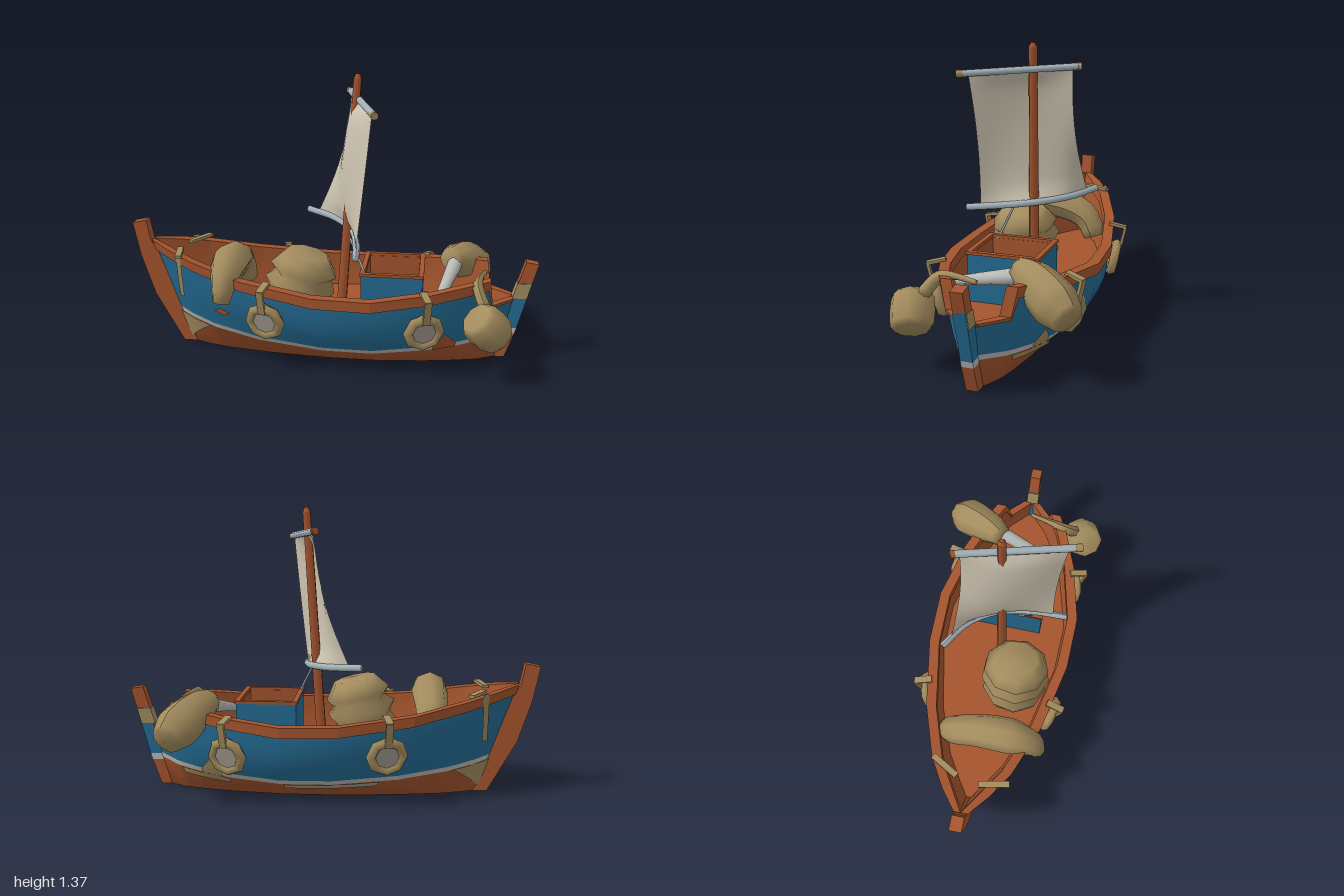
import * as THREE from 'three';

const mat = (name, color) => new THREE.MeshStandardMaterial({ name, color, side: THREE.DoubleSide });
const V = (p) => new THREE.Vector3(p[0], p[1], p[2]);
const lerp = THREE.MathUtils.lerp;
const CZ = 0.02; // centre plane of the hull

// Hull stations: x at the sheer, half width, sheer height, actual top edge
const STATIONS = [
  [-0.9, 0.02, 0.53, 0.53], [-0.8, 0.1, 0.51, 0.51], [-0.66, 0.185, 0.48, 0.48], [-0.4, 0.28, 0.425, 0.425],
  [-0.05, 0.35, 0.385, 0.385], [0.22, 0.355, 0.38, 0.38], [0.5, 0.285, 0.405, 0.405], [0.68, 0.21, 0.43, 0.43],
  [0.77, 0.16, 0.44, 0.44], [0.81, 0.135, 0.45, 0.31], [0.92, 0.03, 0.46, 0.31],
];
const XS = STATIONS.map((s) => s[0]);

function station(x) {
  let i = 0;
  while (i < STATIONS.length - 2 && x > STATIONS[i + 1][0]) i++;
  const a = STATIONS[i], b = STATIONS[i + 1], k = (x - a[0]) / (b[0] - a[0]);
  return a.map((v, j) => lerp(v, b[j], k));
}

// Point on the hull skin at sheer position x, height y
function hullPoint(x, y, side, off = 0) {
  const [, w, sheer] = station(x);
  const f = y / sheer;
  const bottom = 0.15 * Math.pow(w / 0.355, 0.8);
  const half = lerp(bottom, w, 1 - Math.pow(1 - Math.min(f, 1), 3));
  const xBottom = -0.72 + ((x + 0.9) / 1.82) * 1.54;
  return [lerp(xBottom, x, f), y, CZ + side * Math.max(half + off, 0)];
}

// Surface from a grid of points fn(i, j)
function grid(nu, nv, fn, flat = false) {
  const pos = [], idx = [];
  for (let i = 0; i <= nu; i++) for (let j = 0; j <= nv; j++) pos.push(...fn(i, j));
  for (let i = 0; i < nu; i++) for (let j = 0; j < nv; j++) {
    const a = i * (nv + 1) + j, b = a + nv + 1;
    idx.push(a, b, a + 1, b, b + 1, a + 1);
  }
  let g = new THREE.BufferGeometry();
  g.setAttribute('position', new THREE.Float32BufferAttribute(pos, 3));
  g.setIndex(idx);
  if (flat) g = g.toNonIndexed();
  g.computeVertexNormals();
  return g;
}

// Tube with changing radius and blunt closed ends
function sackGeometry(points, radii, sides = 8) {
  const curve = new THREE.CatmullRomCurve3(points.map(V)), n = 16;
  const g = new THREE.TubeGeometry(curve, n, 1, sides), p = g.attributes.position, v = new THREE.Vector3();
  for (let i = 0; i <= n; i++) {
    const u = (THREE.MathUtils.clamp(i, 1, n - 1) - 1) / (n - 2), old = curve.getPointAt(i / n), c = curve.getPointAt(u);
    const k = u * (radii.length - 1), m = Math.min(Math.floor(k), radii.length - 2);
    const r = i === 0 || i === n ? 0.001 : lerp(radii[m], radii[m + 1], k - m);
    for (let j = 0; j <= sides; j++) {
      const q = i * (sides + 1) + j;
      v.fromBufferAttribute(p, q).sub(old).multiplyScalar(r).add(c);
      p.setXYZ(q, v.x, v.y, v.z);
    }
  }
  g.computeVertexNormals();
  return g;
}

export function createModel() {
  const root = new THREE.Group();
  root.name = 'sailingBoat';
  const brown = mat('brownWood', 0xa5552e), blue = mat('bluePaint', 0x246c94), white = mat('palePaint', 0xb9bbb7);
  const khaki = mat('khakiCanvas', 0xa38c5e), cream = mat('sailCloth', 0xcfc6b3), grey = mat('greySpar', 0xa3b2b9);
  const dull = mat('fenderCentre', 0xa69c91);
  const add = (name, geo, m, parent = root) => {
    const mesh = new THREE.Mesh(geo, m);
    mesh.name = name;
    parent.add(mesh);
    return mesh;
  };
  const rod = (name, m, a, b, ra, rb = ra, sides = 8) => {
    const A = V(a), B = V(b), d = B.clone().sub(A);
    const mesh = add(name, new THREE.CylinderGeometry(rb, ra, d.length(), sides), m);
    mesh.position.copy(A).add(B).multiplyScalar(0.5);
    mesh.quaternion.setFromUnitVectors(new THREE.Vector3(0, 1, 0), d.normalize());
  };
  const skin = (name, m, side, xs, lo, hi, n, off = 0) => add(name, grid(xs.length - 1, n, (i, j) =>
    hullPoint(xs[i], lerp(lo(xs[i]), hi(xs[i]), j / n), side, off)), m);
  const range = (a, b, n = 6) => Array.from({ length: n + 1 }, (_, i) => lerp(a, b, i / n));

  // Hull skin in painted bands, lining and rim, mirrored
  const stripeLow = (x) => 0.085 + 0.065 * Math.pow((x - 0.1) / 0.9, 2);
  const stripeHigh = (x) => stripeLow(x) + 0.024;
  const top = (x) => station(x)[3];
  add('lowerHull', grid(XS.length - 1, 4, (i, j) => {
    const x = XS[i], p = hullPoint(x, j % 4 ? 0 : stripeLow(x), j < 2 ? -1 : 1);
    return j === 2 ? [p[0], 0, CZ] : p;
  }), brown);
  for (const side of [1, -1]) {
    skin('waterlineStripe', white, side, XS, stripeLow, stripeHigh, 1);
    skin('upperHull', blue, side, XS, stripeHigh, top, 5);
    skin('hullLining', brown, side, XS, () => 0.2, top, 3, -0.03);
    const rim = [[0.014, 1], [0.014, 0], [-0.038, 0], [-0.038, 1], [0.014, 1]];
    add('rim', grid(XS.length - 1, 4, (i, j) => {
      const h = i > 8 ? 0.014 : 0.05;
      return hullPoint(XS[i], top(XS[i]) + 0.004 - rim[j][1] * h, side, rim[j][0]);
    }, true), brown);
    // Worn paint below the stripe at the bow, above it at the stern
    skin('bowWear', khaki, side, range(-0.89, -0.69), (x) => stripeLow(x) * (1 - 0.85 * (-0.69 - x) / 0.2), stripeLow, 3, 0.007);
    skin('sternWear', side > 0 ? brown : khaki, side, range(0.54, 0.66, 4), stripeLow,
      (x) => stripeHigh(x) + 0.06 * Math.max(0, 1 - Math.abs(x - 0.6) / 0.06), 3, 0.006);
    // Bow strap hanging over the rim
    add('bowStrap', grid(1, 4, (i, j) => hullPoint(-0.83 + 0.022 * j + i * 0.03, 0.27 + 0.06 * j, side, 0.018)), khaki);
    const fold = add('bowStrapFold', new THREE.BoxGeometry(0.03, 0.015, 0.15), khaki);
    fold.position.set(side > 0 ? -0.735 : -0.695, 0.505, CZ + side * 0.125);
    fold.rotation.y = side > 0 ? 0.2 : -0.5;
    // Ring fenders
    for (const x of [-0.308, 0.482]) {
      const y = x < 0 ? 0.25 : 0.232;
      const a = V(hullPoint(x - 0.05, y, side)), b = V(hullPoint(x + 0.05, y, side)), d = b.sub(a);
      const f = new THREE.Group();
      f.name = 'fender';
      f.position.set(...hullPoint(x, y, side, 0.035));
      f.rotation.set(0.22, Math.atan2(-d.z * side, d.x * side), 0, 'YXZ');
      add('fenderRing', new THREE.TorusGeometry(0.074, 0.025, 6, 8), khaki, f);
      add('fenderDisc', new THREE.CylinderGeometry(0.056, 0.056, 0.022, 8), dull, f).rotation.x = Math.PI / 2;
      add('fenderStrap', new THREE.BoxGeometry(0.034, 0.12, 0.014), khaki, f).position.set(0, 0.115, 0.02);
      add('fenderStrapTop', new THREE.BoxGeometry(0.034, 0.014, 0.09), khaki, f).position.set(0, 0.172, -0.02);
      root.add(f);
    }
  }
  // Grime below the stripe on the far side, chip on the near side
  skin('farSideGrime', khaki, -1, range(0.5, 0.78), (x) => stripeLow(x) - 0.03, stripeLow, 2, 0.007);
  skin('midGrime', dull, -1, range(-0.3, 0.2, 8), (x) => stripeLow(x) - 0.025, stripeLow, 2, 0.007);
  skin('paintChip', brown, 1, range(-0.62, -0.52, 4), (x) => 0.24 - 0.4 * (0.05 - Math.abs(x + 0.57)),
    (x) => 0.24 + 0.4 * (0.05 - Math.abs(x + 0.57)), 2, 0.006);
  add('deck', grid(XS.length - 1, 2, (i, j) => hullPoint(XS[i], 0.22, j - 1, -0.02)), brown);

  // Bow and stern posts
  const slab = (name, m, pts, depth) => {
    const g = new THREE.ExtrudeGeometry(new THREE.Shape(pts.map((p) => new THREE.Vector2(...p))), { depth, bevelEnabled: false });
    return add(name, g.translate(0, 0, CZ - depth / 2), m);
  };
  slab('bowPost', brown, [[-0.69, 0], [-0.79, 0.25], [-0.875, 0.48], [-0.91, 0.53], [-0.93, 0.635], [-1, 0.62], [-0.965, 0.45], [-0.9, 0.25], [-0.76, 0]], 0.06);
  const sternX = (y) => 0.86 + 0.14 * Math.pow(y / 0.49, 0.85);
  const sternPiece = (name, m, a, b, depth) => slab(name, m, [[sternX(a) - 0.085 + a * 0.05, a], [sternX(a), a],
    [sternX(b), b - (b > 0.4 ? 0.01 : 0)], [sternX(b) - 0.085 + b * 0.05, b]], depth);
  sternPiece('sternPostFoot', brown, 0, 0.125, 0.055);
  sternPiece('sternPostStripe', white, 0.125, 0.155, 0.055);
  sternPiece('sternPostPaint', blue, 0.155, 0.39, 0.055);
  sternPiece('sternPostHead', brown, 0.39, 0.495, 0.055);
  sternPiece('sternPostWear', khaki, 0.31, 0.385, 0.062).scale.x = 0.997;

  // Open cabin box
  const frame = (name, m, w, d, t, y, h) => {
    const rect = (a, b) => [[-a, -b], [a, -b], [a, b], [-a, b]].map((p) => new THREE.Vector2(...p));
    const s = new THREE.Shape(rect(w / 2, d / 2));
    s.holes.push(new THREE.Path(rect(w / 2 - t, d / 2 - t)));
    const g = new THREE.ExtrudeGeometry(s, { depth: h, bevelEnabled: false }).rotateX(-Math.PI / 2);
    add(name, g, m).position.set(0.308, y, 0.037);
  };
  frame('cabinWalls', blue, 0.29, 0.335, 0.01, 0.21, 0.235);
  frame('cabinLining', brown, 0.27, 0.315, 0.01, 0.21, 0.235);
  frame('cabinFrame', brown, 0.302, 0.348, 0.024, 0.445, 0.014);

  // Mast, bent lower spar, upper spar
  rod('mast', brown, [0.05, 0.2, 0.02], [0.121, 1.35, 0.002], 0.027, 0.021, 6);
  rod('mastTip', brown, [0.121, 1.35, 0.002], [0.122, 1.372, 0.002], 0.021, 0.01, 6);
  const lower = new THREE.CatmullRomCurve3([[-0.15, 0.645, -0.235], [0, 0.628, -0.14], [0.112, 0.608, 0.04], [0.15, 0.575, 0.33]].map(V));
  const upper = new THREE.LineCurve3(V([0.065, 1.265, -0.21]), V([0.228, 1.228, 0.335]));
  add('lowerSpar', sackGeometry([0, 0.25, 0.5, 0.75, 1].map((u) => lower.getPointAt(u).toArray()), [0.017, 0.017]), grey);
  rod('upperSpar', grey, upper.v1.toArray(), upper.v2.toArray(), 0.017);
  rod('upperSparEnd', brown, [0.06, 1.2663, -0.212], [0.07, 1.264, -0.194], 0.018);
  rod('upperSparFarEnd', khaki, [0.22, 1.23, 0.308], [0.229, 1.2278, 0.338], 0.018);

  // Billowed sail stretched between the spars
  add('sail', grid(12, 12, (i, j) => {
    const s = i / 12, t = j / 12, arch = Math.sin(Math.PI * t);
    const p = lower.getPointAt(lerp(0.09, 0.9, s)).lerp(upper.getPointAt(lerp(0.065, 0.91, s)), t);
    p.x += Math.sqrt(arch) * -0.075 * Math.sin(Math.PI * s) + arch * 0.035 * (1 - s);
    p.z += arch * (0.5 - s) * 0.03;
    return p.toArray();
  }), cream);

  // Rigging line from the lower spar to the cabin
  rod('sheetRope', grey, [0.1, 0.6, 0.1], [0.18, 0.44, 0.16], 0.006, 0.006, 5);

  // Layered sack on deck
  const pile = [[0, 0], [0.14, 0], [0.165, 0.06], [0.14, 0.11], [0.175, 0.16], [0.13, 0.2], [0.165, 0.235], [0.13, 0.28], [0.105, 0.315], [0, 0.322]];
  const sack = add('pileSack', new THREE.LatheGeometry(pile.map((p) => new THREE.Vector2(...p)), 9), khaki);
  sack.position.set(-0.175, 0.22, 0.13);
  sack.rotation.z = -0.24;

  // Bag draped across the bow rim
  add('drapedBag', sackGeometry([[-0.47, 0.29, -0.15], [-0.485, 0.39, -0.1], [-0.48, 0.455, 0.04], [-0.48, 0.455, 0.22], [-0.48, 0.4, 0.29], [-0.49, 0.32, 0.315]],
    [0.06, 0.075, 0.08, 0.088, 0.09, 0.065, 0.04]), khaki);

  // Long bag over the back rim with a tapered handle
  add('sternBag', sackGeometry([[0.58, 0.45, -0.09], [0.63, 0.43, -0.17], [0.7, 0.36, -0.29], [0.74, 0.315, -0.36]],
    [0.055, 0.085, 0.1, 0.105, 0.07]), khaki);
  rod('handle', white, [0.61, 0.43, -0.1], [0.53, 0.345, 0.22], 0.038, 0.022);

  // Barrel-shaped float hung at the stern
  const barrel = [[0, -0.09], [0.075, -0.085], [0.095, -0.06], [0.1, 0], [0.095, 0.06], [0.075, 0.085], [0, 0.09]];
  const float = add('sternFloat', new THREE.LatheGeometry(barrel.map((p) => new THREE.Vector2(...p)), 8), khaki);
  float.position.set(0.755, 0.27, 0.335);
  float.rotation.set(0.1, 0.3, 0.75);
  add('floatStrap', sackGeometry([[0.75, 0.435, 0.04], [0.72, 0.44, 0.16], [0.71, 0.42, 0.23], [0.74, 0.35, 0.29]], [0.012, 0.015, 0.028, 0.03], 6), khaki);

  return root;
}
